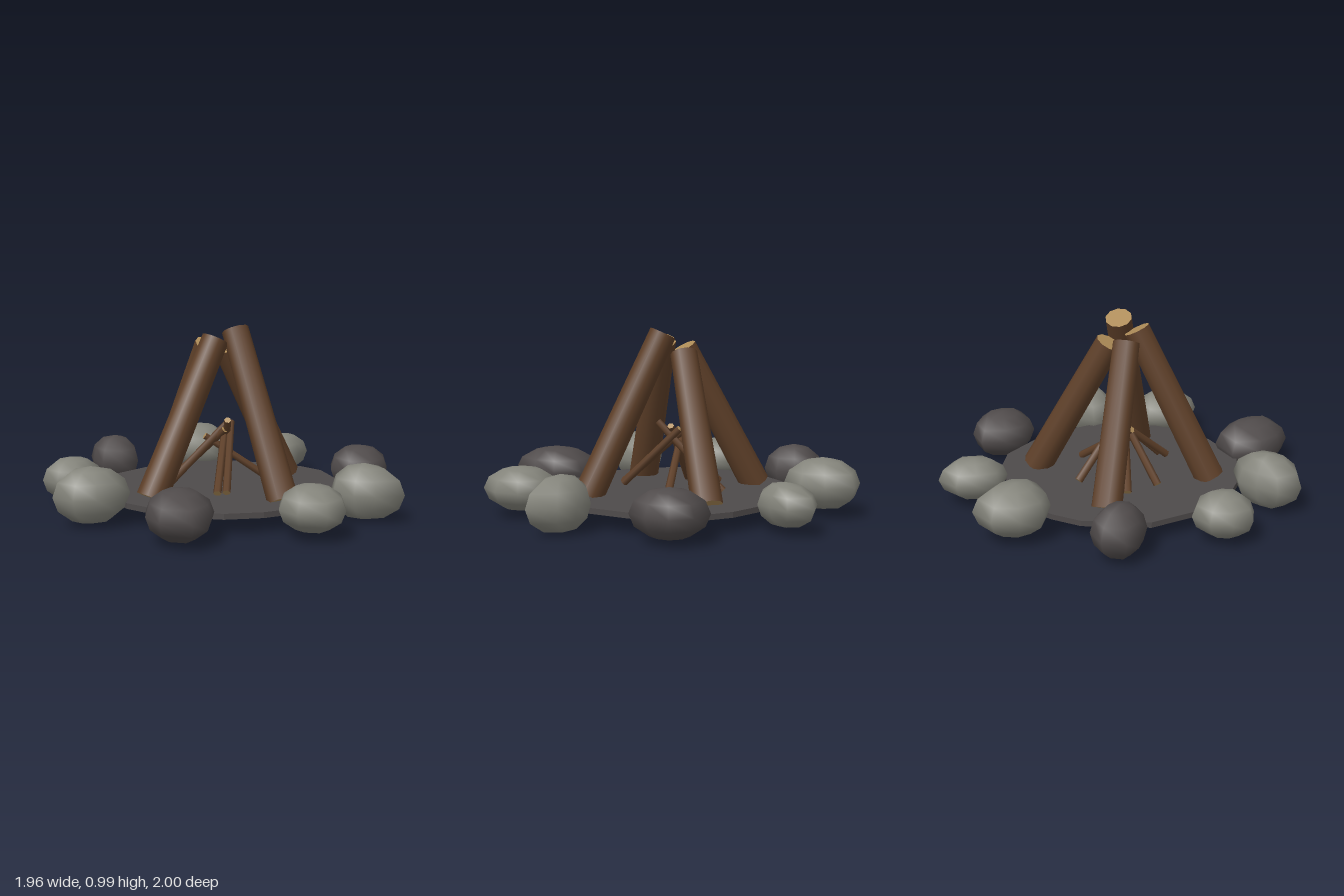
import * as THREE from 'three';

const mat = (name, color) => {
  const m = new THREE.MeshStandardMaterial({ color });
  m.name = name;
  return m;
};

// Smooth boulder: stacked rings sharing one outline, given as radii every 45 degrees from +x towards +z
function stoneGeometry(radii, y0, y1) {
  const n = radii.length, steps = 6, pos = [], index = [];
  const mid = (y0 + y1) / 2, half = (y1 - y0) / 2;
  pos.push(0, y0, 0);
  for (let r = 1; r < steps; r++) {
    const lat = -Math.PI / 2 + (Math.PI * r) / steps;
    for (let j = 0; j < n; j++) {
      const a = (j / n) * Math.PI * 2, d = radii[j] * Math.cos(lat);
      pos.push(d * Math.cos(a), mid + half * Math.sin(lat), d * Math.sin(a));
    }
  }
  pos.push(0, y1, 0);
  const top = pos.length / 3 - 1;
  const at = (r, j) => (r === 0 ? 0 : r === steps ? top : 1 + (r - 1) * n + (j % n));
  for (let r = 0; r < steps; r++) {
    for (let j = 0; j < n; j++) {
      if (r < steps - 1) index.push(at(r, j), at(r + 1, j), at(r + 1, j + 1));
      if (r > 0) index.push(at(r, j), at(r + 1, j + 1), at(r, j + 1));
    }
  }
  const g = new THREE.BufferGeometry();
  g.setAttribute('position', new THREE.Float32BufferAttribute(pos, 3));
  g.setIndex(index);
  g.computeVertexNormals();
  return g;
}

// Round timber running from its foot to its tip, with pale sawn ends
function timber(name, foot, tip, rFoot, rTip, sides, mats) {
  const a = new THREE.Vector3(...foot), b = new THREE.Vector3(...tip);
  const dir = b.clone().sub(a);
  const mesh = new THREE.Mesh(new THREE.CylinderGeometry(rTip, rFoot, dir.length(), sides), mats);
  mesh.position.copy(a).add(b).multiplyScalar(0.5);
  mesh.quaternion.setFromUnitVectors(new THREE.Vector3(0, 1, 0), dir.normalize());
  mesh.name = name;
  return mesh;
}

export function createModel() {
  const model = new THREE.Group();
  model.name = 'campfire';
  const lightStone = mat('light stone', 0x84847b);
  const darkStone = mat('dark stone', 0x504b4b);
  const ash = mat('ash', 0x4e4a4a);
  const bark = mat('bark', 0x5f4029);
  const cutWood = mat('cut wood', 0xae8c58);

  // Thin, slightly irregular ash bed
  const outline = [
    [-0.66, 0], [-0.62, -0.2], [-0.48, -0.46], [-0.17, -0.64], [0, -0.66], [0.2, -0.64],
    [0.45, -0.45], [0.58, -0.32], [0.65, -0.18], [0.64, 0.15], [0.5, 0.42], [0.34, 0.6],
    [0, 0.65], [-0.2, 0.62], [-0.46, 0.47], [-0.6, 0.25],
  ].map(([x, z]) => new THREE.Vector2(x, -z));
  const bedGeometry = new THREE.ExtrudeGeometry(new THREE.Shape(outline), { depth: 0.03, bevelEnabled: false });
  bedGeometry.rotateX(-Math.PI / 2);
  const bed = new THREE.Mesh(bedGeometry, ash);
  bed.position.y = 0.08;
  bed.name = 'ashBed';
  model.add(bed);

  // Ring of stones: x, z, bottom, top, material, outline radii
  const stones = new THREE.Group();
  stones.name = 'stoneRing';
  [
    [-0.43, -0.68, 0.01, 0.29, darkStone, [0.13, 0.15, 0.165, 0.14, 0.13, 0.165, 0.165, 0.15]],
    [0.12, -0.80, 0.03, 0.31, lightStone, [0.175, 0.185, 0.205, 0.18, 0.18, 0.175, 0.2, 0.22]],
    [0.56, -0.58, 0.03, 0.26, lightStone, [0.165, 0.115, 0.14, 0.175, 0.165, 0.13, 0.16, 0.195]],
    [0.81, -0.01, 0.02, 0.28, darkStone, [0.17, 0.165, 0.2, 0.18, 0.17, 0.17, 0.2, 0.175]],
    [0.59, 0.54, 0.0, 0.3, lightStone, [0.16, 0.225, 0.15, 0.14, 0.175, 0.18, 0.15, 0.125]],
    [0.2, 0.79, 0.03, 0.27, lightStone, [0.175, 0.18, 0.205, 0.185, 0.175, 0.175, 0.2, 0.185]],
    [-0.45, 0.68, 0.01, 0.27, darkStone, [0.18, 0.18, 0.235, 0.2, 0.17, 0.185, 0.24, 0.22]],
    [-0.78, 0.22, 0.01, 0.31, lightStone, [0.205, 0.175, 0.145, 0.17, 0.2, 0.18, 0.13, 0.16]],
    [-0.78, -0.24, 0.03, 0.27, lightStone, [0.17, 0.15, 0.16, 0.15, 0.16, 0.15, 0.155, 0.175]],
  ].forEach(([x, z, y0, y1, material, radii], i) => {
    const stone = new THREE.Mesh(stoneGeometry(radii, y0, y1), material);
    stone.position.set(x, 0, z);
    stone.name = 'stone' + (i + 1);
    stones.add(stone);
  });
  model.add(stones);

  // Four logs leaning together
  const wood = [bark, cutWood, cutWood];
  [
    ['frontLog', [0.18, 0.11, 0.44], [0.052, 0.96, 0.05]],
    ['rightLog', [-0.45, 0.11, 0.18], [-0.06, 0.915, 0.055]],
    ['leftLog', [0.43, 0.11, -0.19], [0.04, 0.855, -0.06]],
    ['backLog', [-0.2, 0.11, -0.45], [-0.065, 0.875, -0.055]],
  ].forEach(([name, foot, tip]) => model.add(timber(name, foot, tip, 0.082, 0.072, 10, wood)));

  // Kindling inside the logs
  [
    [[0.1, 0.12, -0.27], [0, 0.48, 0.08]],
    [[-0.28, 0.12, -0.08], [0.03, 0.46, 0.01]],
    [[0.28, 0.12, 0.02], [-0.09, 0.38, -0.04]],
    [[-0.12, 0.13, 0.27], [0.03, 0.43, -0.05]],
    [[-0.07, 0.13, 0.27], [0.06, 0.45, -0.04]],
    [[-0.2, 0.12, -0.25], [0, 0.42, 0.03]],
  ].forEach(([foot, tip], i) => model.add(timber('twig' + (i + 1), foot, tip, 0.022, 0.019, 6, wood)));

  return model;
}
